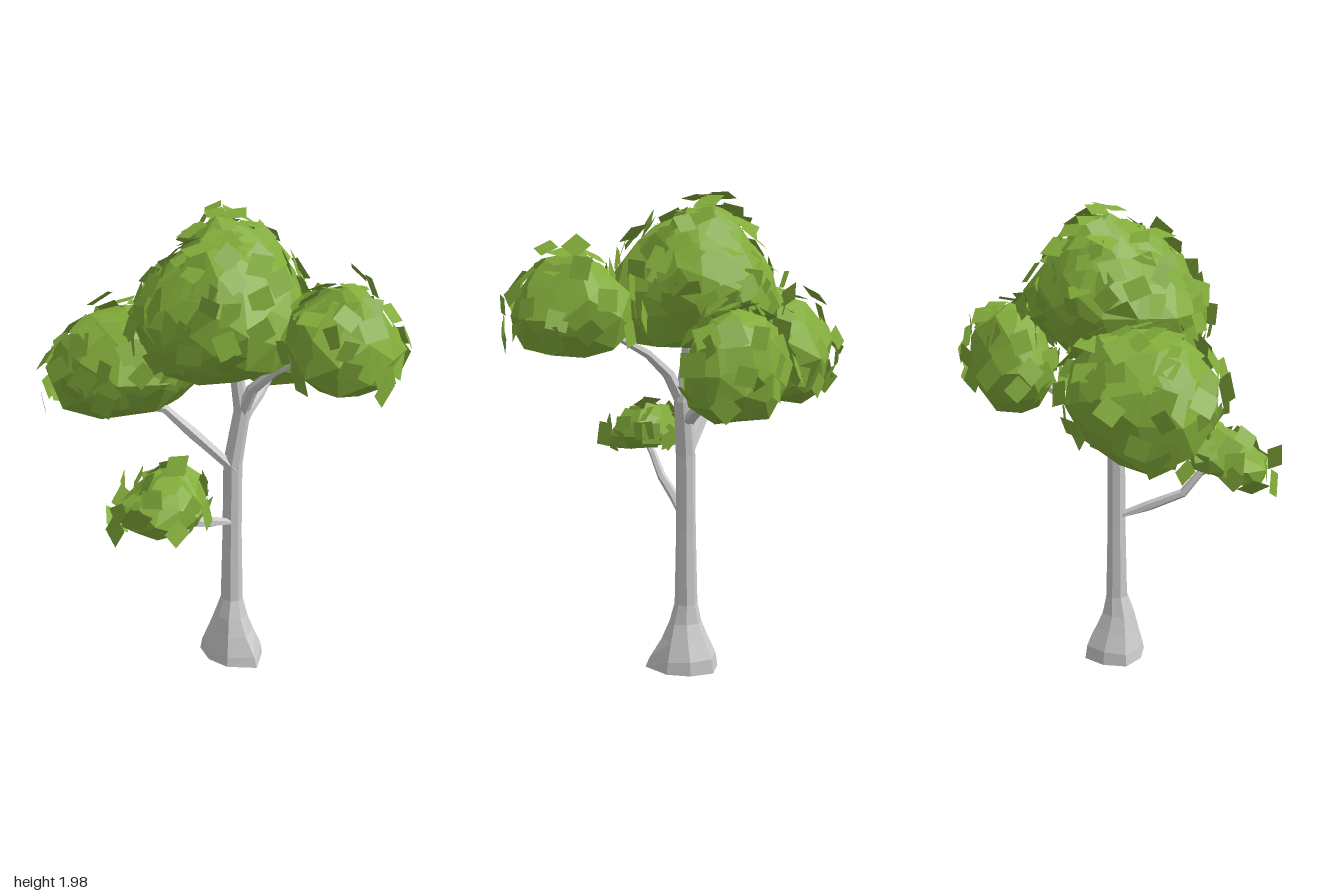
import * as THREE from 'three';
import { mergeGeometries } from 'three/addons/utils/BufferGeometryUtils.js';

const V = (x, y, z) => new THREE.Vector3(x, y, z);
const UP = V(0, 1, 0);

let seed = 7;
function rand() {
  seed = (seed * 16807) % 2147483647;
  return seed / 2147483647;
}

const bark = new THREE.MeshStandardMaterial({ color: 0xcccccc, flatShading: true, side: THREE.DoubleSide });
const foliage = new THREE.MeshStandardMaterial({ color: 0x82ac3a, flatShading: true });
const leafMat = new THREE.MeshStandardMaterial({ color: 0x82ac3a, flatShading: true, side: THREE.DoubleSide });

// Faceted limb: one ring per station [x, y, z, radius], open at the foot, closed at the tip
function limb(name, stations, sides, flare = () => 1) {
  const pts = stations.map(s => V(s[0], s[1], s[2]));
  const pos = [], idx = [], last = pts.length - 1;
  pts.forEach((p, i) => {
    const tangent = pts[Math.min(i + 1, last)].clone().sub(pts[Math.max(i - 1, 0)]).normalize();
    const q = new THREE.Quaternion().setFromUnitVectors(UP, i ? tangent : UP);
    for (let j = 0; j < sides; j++) {
      const a = j / sides * Math.PI * 2, r = stations[i][3] * flare(j, i);
      pos.push(...V(Math.cos(a) * r, 0, Math.sin(a) * r).applyQuaternion(q).add(p).toArray());
    }
  });
  const tip = pos.length / 3, lastRing = last * sides;
  pos.push(...pts[last].toArray());
  for (let j = 0; j < sides; j++) {
    const k = (j + 1) % sides;
    for (let i = 0; i < last; i++) {
      const a = i * sides + j, c = i * sides + k;
      idx.push(a, a + sides, c, c, a + sides, c + sides);
    }
    idx.push(tip, lastRing + k, lastRing + j);
  }
  let g = new THREE.BufferGeometry();
  g.setAttribute('position', new THREE.Float32BufferAttribute(pos, 3));
  g.setIndex(idx);
  g = g.toNonIndexed();
  g.computeVertexNormals();
  const mesh = new THREE.Mesh(g, bark);
  mesh.name = name;
  return mesh;
}

// Foliage masses: centre, radii, height of the flattened underside, top taper,
// lean of the top (x, z), rise of the underside along x and z, and leaf count
const clumps = [
  { name: 'crown', c: [0.02, 1.6, -0.01], r: [0.35, 0.325, 0.36], floor: 0.68, taper: 0.36, lean: [0, -0.06], rise: [0.08, -0.05], detail: 2, leaves: 105 },
  { name: 'leftClump', c: [-0.37, 1.32, -0.07], r: [0.36, 0.25, 0.29], floor: 0.75, taper: 0.12, lean: [-0.01, -0.02], rise: [0.26, 0.16], detail: 1, leaves: 80 },
  { name: 'rightClump', c: [0.49, 1.53, 0.17], r: [0.23, 0.23, 0.26], floor: 0.6, taper: 0.32, lean: [0.01, 0], rise: [-0.08, 0], detail: 1, leaves: 45 },
  { name: 'backClump', c: [0.21, 1.34, -0.42], r: [0.25, 0.23, 0.17], floor: 0.85, taper: 0.15, lean: [0, 0], rise: [0, 0], detail: 1, leaves: 45 },
  { name: 'lowClump', c: [-0.17, 0.92, 0.4], r: [0.175, 0.125, 0.17], floor: 0.45, taper: 0.35, lean: [0.02, -0.05], rise: [0.08, -0.2], detail: 1, leaves: 32 },
];

// Point on a clump's surface for a unit direction
function surface(k, d, i) {
  const n = 1 + 0.06 * Math.sin(5 * d.x + 2 * i + 3 * d.y) + 0.05 * Math.sin(6 * d.z - 4 * d.y + i);
  let y = d.y * n;
  if (y < -k.floor) y = -k.floor + (y + k.floor) * 0.2;
  const t = Math.max(y, 0), s = n * (1 - k.taper * t);
  const lift = (k.rise[0] * d.x * k.r[0] + k.rise[1] * d.z * k.r[2]) * (y < 0 ? 1 : 0.4);
  return V(
    k.c[0] + d.x * s * k.r[0] + k.lean[0] * t,
    k.c[1] + y * k.r[1] + lift,
    k.c[2] + d.z * s * k.r[2] + k.lean[1] * t);
}

function clumpMesh(k, i) {
  const g = new THREE.IcosahedronGeometry(1, k.detail);
  const p = g.attributes.position, d = V(0, 0, 0);
  for (let v = 0; v < p.count; v++) {
    d.fromBufferAttribute(p, v).normalize();
    p.setXYZ(v, ...surface(k, d, i).toArray());
  }
  g.computeVertexNormals();
  const mesh = new THREE.Mesh(g, foliage);
  mesh.name = k.name;
  return mesh;
}

const inside = (k, p) =>
  ((p.x - k.c[0]) / k.r[0]) ** 2 + ((p.y - k.c[1]) / k.r[1]) ** 2 + ((p.z - k.c[2]) / k.r[2]) ** 2 < 0.8;

// Square leaf cards spread over a clump, each tilted a little off the surface
function leafCards(k, i) {
  const cards = [];
  for (let n = 0; n < k.leaves; n++) {
    const y = 1 - 1.4 * (n + 0.5) / k.leaves;
    const a = n * 2.39996 + rand() * 0.6, h = Math.sqrt(1 - y * y);
    const d = V(Math.cos(a) * h, y, Math.sin(a) * h);
    const p = surface(k, d, i);
    const normal = V(d.x / k.r[0], d.y / k.r[1], d.z / k.r[2]).normalize();
    p.addScaledVector(normal, rand() * 0.045 - 0.01);
    const tilt = V(rand() - 0.5, rand() - 0.5, rand() - 0.5).multiplyScalar(0.9);
    const spin = rand() * Math.PI * 2, size = 0.075 + rand() * 0.03;
    if (clumps.some(o => o !== k && inside(o, p))) continue;
    const q = new THREE.Quaternion().setFromUnitVectors(V(0, 0, 1), normal.add(tilt).normalize());
    const g = new THREE.PlaneGeometry(size, size * 0.9);
    g.rotateZ(spin).applyQuaternion(q).translate(p.x, p.y, p.z);
    cards.push(g);
  }
  const mesh = new THREE.Mesh(mergeGeometries(cards), leafMat);
  mesh.name = k.name + 'Leaves';
  return mesh;
}

// Root flare: alternating ridges near the ground, one root reaching further out
function rootFlare(j, i) {
  if (i > 3) return 1;
  if (j === 1) return [1.4, 1.35, 1.15, 1][i];
  return j % 2 ? 0.95 : 1.06;
}

export function createModel() {
  seed = 7;
  const tree = new THREE.Group();
  tree.name = 'tree';

  // Trunk with flared roots
  tree.add(limb('trunk', [
    [0.045, 0, -0.03, 0.13], [0.045, 0.05, -0.03, 0.122], [0.045, 0.13, -0.02, 0.092],
    [0.045, 0.2, -0.015, 0.068], [0.048, 0.28, -0.02, 0.048], [0.048, 0.6, -0.02, 0.041],
    [0.05, 0.92, -0.02, 0.04], [0.085, 1.15, -0.035, 0.035], [0.065, 1.28, -0.04, 0.029],
    [0.068, 1.42, -0.055, 0.022],
  ], 8, rootFlare));

  // Branches reaching into each clump
  tree.add(limb('leftBranch', [[0.05, 0.9, -0.01, 0.032], [-0.11, 1.06, 0.02, 0.026],
    [-0.22, 1.17, 0.04, 0.02], [-0.36, 1.195, 0.05, 0.014]], 6));
  tree.add(limb('rightBranch', [[0.08, 1.13, -0.035, 0.03], [0.13, 1.26, 0, 0.025],
    [0.22, 1.35, 0.03, 0.019], [0.34, 1.42, 0.06, 0.014]], 6));
  tree.add(limb('backBranch', [[0.06, 1.05, -0.03, 0.03], [0.1, 1.12, -0.12, 0.025],
    [0.14, 1.16, -0.2, 0.02], [0.19, 1.24, -0.32, 0.015]], 6));
  tree.add(limb('lowBranch', [[0.04, 0.65, -0.01, 0.028], [-0.02, 0.7, 0.1, 0.022],
    [-0.08, 0.76, 0.23, 0.019], [-0.1, 0.85, 0.3, 0.016], [-0.13, 0.88, 0.36, 0.012]], 6));

  // Foliage
  clumps.forEach((k, i) => tree.add(clumpMesh(k, i), leafCards(k, i)));
  return tree;
}
